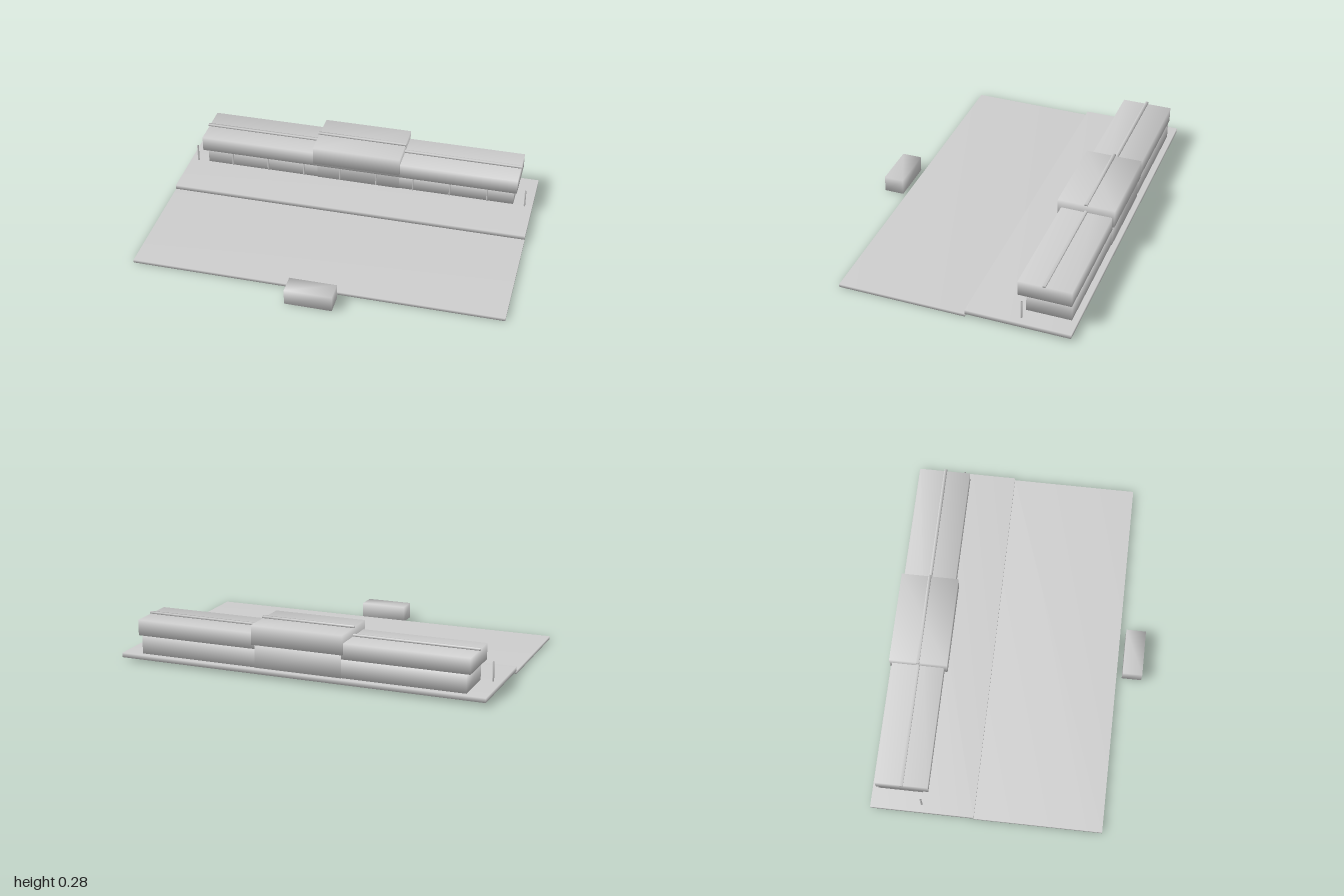
import * as THREE from 'three';
import { mergeVertices } from 'three/addons/utils/BufferGeometryUtils.js';

const grey = new THREE.MeshStandardMaterial({ color: 0xcccccc });
grey.name = 'plain grey';

// Box given by its extents, with corners shared so the shading runs smoothly round the edges
function block(name, [x0, x1], [y0, y1], [z0, z1]) {
  const box = new THREE.BoxGeometry(x1 - x0, y1 - y0, z1 - z0);
  box.deleteAttribute('normal');
  box.deleteAttribute('uv');
  const geometry = mergeVertices(box);
  geometry.clearGroups();
  geometry.computeVertexNormals();
  const mesh = new THREE.Mesh(geometry, grey);
  mesh.name = name;
  mesh.position.set((x0 + x1) / 2, (y0 + y1) / 2, (z0 + z1) / 2);
  return mesh;
}

export function createModel() {
  const model = new THREE.Group();
  model.name = 'pavilion';

  // Ground: low forecourt and raised terrace
  model.add(
    block('forecourt', [-1, 1], [0, 0.017], [-0.136, 0.548]),
    block('terrace', [-1, 1], [0.017, 0.041], [-0.688, -0.136]),
  );

  // Long hall with its roof and ridge
  model.add(
    block('hallWalls', [-0.893, 0.893], [0.041, 0.14], [-0.657, -0.42]),
    block('hallRoof', [-0.912, 0.912], [0.14, 0.224], [-0.66, -0.382]),
    block('hallRidge', [-0.918, 0.918], [0.224, 0.235], [-0.526, -0.51]),
  );

  // Taller central block
  model.add(
    block('centreWalls', [-0.238, 0.238], [0.041, 0.165], [-0.661, -0.416]),
    block('centreRoof', [-0.25, 0.25], [0.165, 0.268], [-0.673, -0.363]),
    block('centreRidge', [-0.255, 0.255], [0.268, 0.279], [-0.526, -0.51]),
  );

  // Evenly spaced row of slim posts along the facade
  const posts = new THREE.Group();
  posts.name = 'facadePosts';
  for (let i = 0; i < 10; i++) {
    const x = -0.957 + (i * 1.914) / 9;
    posts.add(block('post', [x - 0.004, x + 0.004], [0.041, 0.141], [-0.422, -0.414]));
  }
  model.add(posts);

  // Low block standing in front of the forecourt
  model.add(block('frontBlock', [-0.127, 0.127], [0, 0.087], [0.578, 0.685]));

  return model;
}
